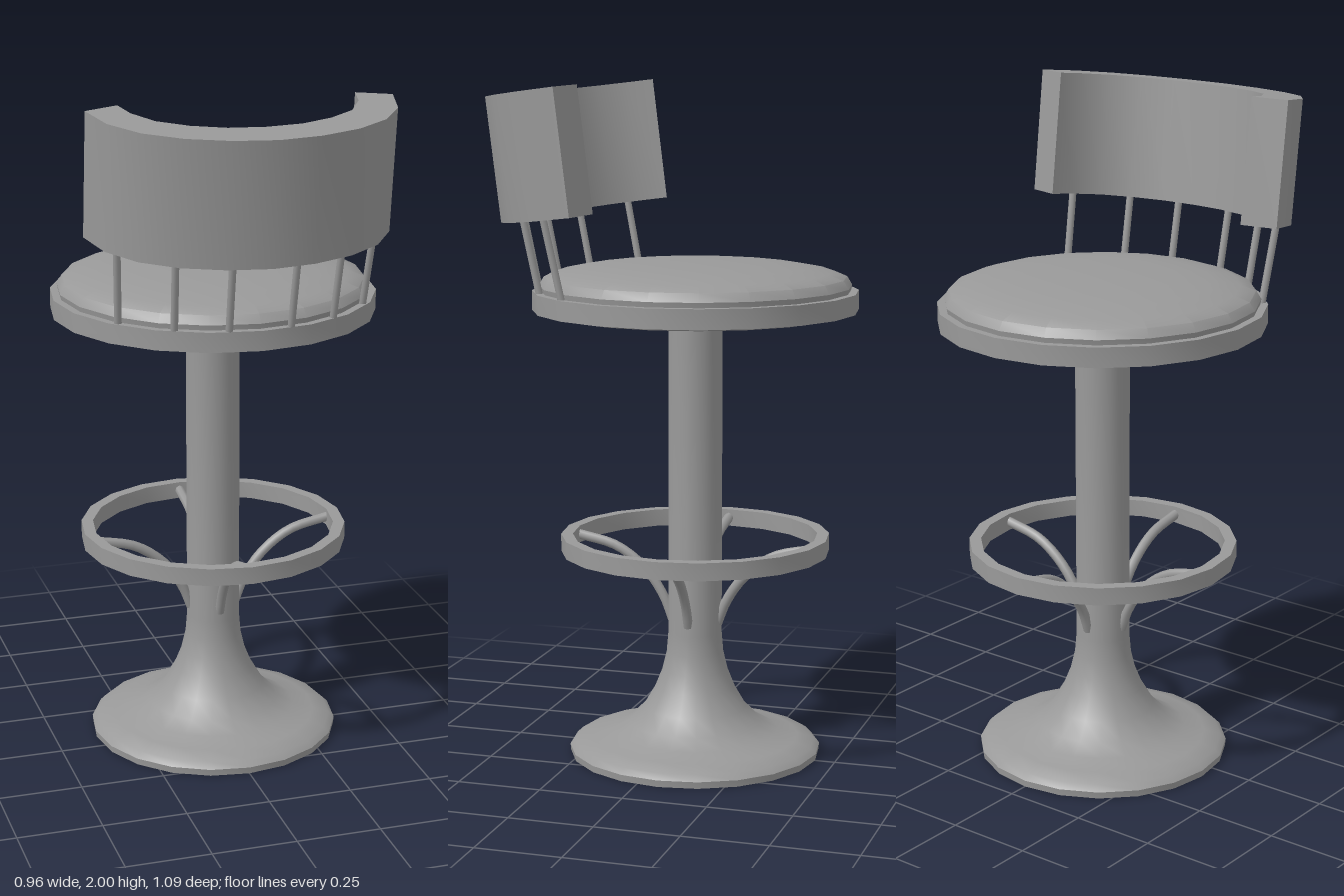
import * as THREE from 'three';
import { toCreasedNormals } from 'three/addons/utils/BufferGeometryUtils.js';

const SIDES = 20;
const CENTER_Z = -0.065; // axis of the pole and seat

export function createModel() {
  const model = new THREE.Group();
  model.name = 'barStool';
  const grey = new THREE.MeshStandardMaterial({ color: 0x999999 });
  grey.name = 'plain grey';

  const add = (name, geometry, parent) => {
    const mesh = new THREE.Mesh(geometry, grey);
    mesh.name = name;
    parent.add(mesh);
    return mesh;
  };
  // Turned part; the profile runs from bottom to top
  const turned = (points, crease = 0.6) => toCreasedNormals(
    new THREE.LatheGeometry(points.map(([r, y]) => new THREE.Vector2(r, y)), SIDES), crease);

  const body = new THREE.Group();
  body.name = 'turnedBody';
  body.position.z = CENTER_Z;
  model.add(body);

  // Trumpet base running into the pole
  add('baseAndPole', turned([
    [0, 0], [0.375, 0], [0.377, 0.02], [0.36, 0.037], [0.31, 0.052], [0.25, 0.068],
    [0.2, 0.095], [0.155, 0.14], [0.12, 0.2], [0.098, 0.255], [0.085, 0.31],
    [0.08, 0.37], [0.08, 1.336],
  ]), body);

  // Seat tray and domed cushion
  add('seatRim', turned([
    [0, 1.333], [0.43, 1.333], [0.44, 1.342], [0.48, 1.342], [0.48, 1.4], [0.44, 1.4],
  ]), body);
  add('cushion', turned([
    [0.457, 1.398], [0.46, 1.415], [0.445, 1.44], [0.4, 1.456], [0.32, 1.47],
    [0.22, 1.48], [0, 1.483],
  ], 0.7), body);

  // Foot ring, a closed square section
  add('footRing', turned([
    [0.365, 0.67], [0.365, 0.618], [0.4, 0.618], [0.4, 0.67], [0.365, 0.67],
  ]), body);

  // Four curved arms from the pole to the ring
  const armPath = new THREE.CatmullRomCurve3([
    [0.07, 0.40], [0.098, 0.47], [0.155, 0.55], [0.245, 0.615], [0.37, 0.645],
  ].map(([r, y]) => new THREE.Vector3(r, y, 0)));
  const armGeometry = new THREE.TubeGeometry(armPath, 14, 0.015, 8);
  for (let i = 0; i < 4; i++) {
    add('ringArm', armGeometry, body).rotation.y = i * Math.PI / 2;
  }

  // Spindles leaning back from the seat rim into the backrest
  for (const side of [-1, 1]) {
    for (const [x, z] of [[0.09, 0.39], [0.232, 0.337], [0.362, 0.222]]) {
      const path = new THREE.LineCurve3(
        new THREE.Vector3(side * x, 1.38, z - 0.004),
        new THREE.Vector3(side * x * 1.045, 1.67, z + 0.056));
      add('spindle', new THREE.TubeGeometry(path, 1, 0.011, 8), model);
    }
  }

  // Curved backrest: half outlines from the middle to the end, mirrored
  const outer = [[0, 0.545], [0.125, 0.53], [0.245, 0.49], [0.345, 0.425], [0.415, 0.33], [0.445, 0.21]];
  const inner = [[0.345, 0.175], [0.328, 0.25], [0.28, 0.33], [0.2, 0.385], [0.105, 0.42], [0, 0.43]];
  const half = [...outer, ...inner];
  const mirrored = half.slice(1, -1).reverse().map(([x, z]) => [-x, z]);
  const outline = new THREE.Shape([...half, ...mirrored].map(
    ([x, z]) => new THREE.Vector2(x, (0.545 - z) * 1.008)));
  const height = 0.363;
  const backGeometry = new THREE.ExtrudeGeometry(outline, { depth: height, bevelEnabled: false });
  backGeometry.rotateX(-Math.PI / 2).translate(0, -height, 0);
  const backrest = add('backrest', toCreasedNormals(backGeometry, 0.75), model);
  backrest.position.set(0, 1.957, 0.547);
  backrest.rotation.x = 0.124;

  return model;
}
